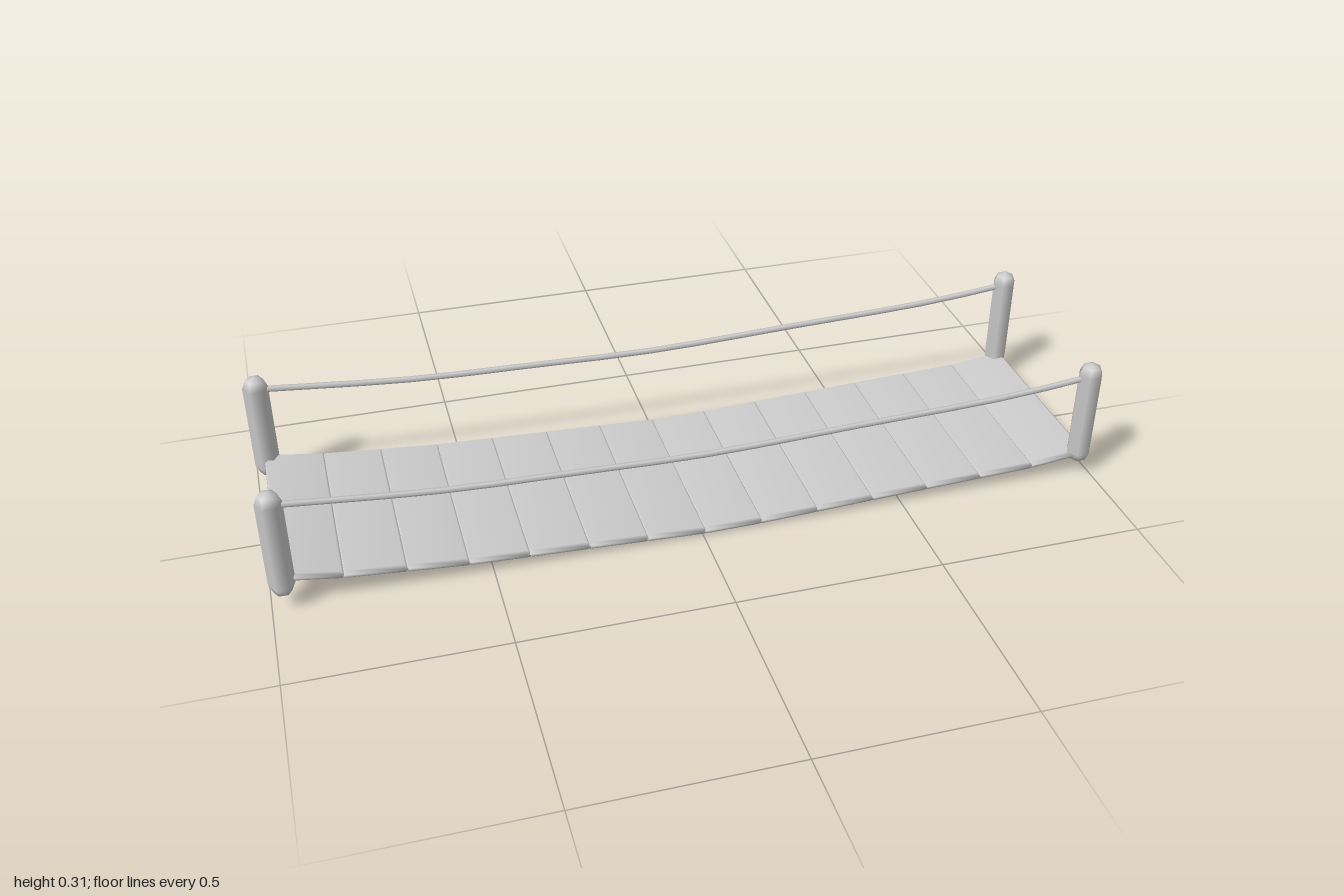
import * as THREE from 'three';
import { mergeVertices } from 'three/addons/utils/BufferGeometryUtils.js';

const grey = new THREE.MeshStandardMaterial({ color: 0xcccccc });

function add(parent, name, geometry) {
  const mesh = new THREE.Mesh(geometry, grey);
  mesh.name = name;
  parent.add(mesh);
  return mesh;
}

// Height of a polyline of [x, y] points at x
function heightAt(points, x) {
  let i = 1;
  while (i < points.length - 1 && x > points[i][0]) i++;
  const [x0, y0] = points[i - 1], [x1, y1] = points[i];
  return y0 + (y1 - y0) * (x - x0) / (x1 - x0);
}

// Thin bevelled board with softly shaded edges, length along x, width along z
function plankGeometry(length, width, thickness, bevel) {
  const a = length / 2 - bevel, b = width / 2 - bevel;
  const shape = new THREE.Shape([[-a, -b], [a, -b], [a, b], [-a, b]].map(p => new THREE.Vector2(...p)));
  const depth = thickness - 2 * bevel;
  const g = new THREE.ExtrudeGeometry(shape, {
    depth, bevelEnabled: true, bevelThickness: bevel, bevelSize: bevel, bevelSegments: 1,
  });
  g.translate(0, 0, -depth / 2);
  g.rotateX(-Math.PI / 2);
  g.deleteAttribute('uv');
  g.deleteAttribute('normal');
  const smooth = mergeVertices(g, 1e-4);
  smooth.computeVertexNormals();
  return smooth;
}

export function createModel() {
  const bridge = new THREE.Group();
  bridge.name = 'ropeBridge';

  // Sagging walkway of fourteen planks
  const sag = [[-0.975, 0.081], [-0.835, 0.06], [-0.555, 0.036], [-0.275, 0.024],
    [0.005, 0.011], [0.145, 0.013], [0.425, 0.025], [0.845, 0.041], [0.985, 0.057]];
  const deck = new THREE.Group();
  deck.name = 'deck';
  bridge.add(deck);
  const count = 14, step = 0.14, start = -0.975;
  const board = plankGeometry(step + 0.004, 0.492, 0.02, 0.007);
  for (let i = 0; i < count; i++) {
    const x0 = start + i * step, x1 = x0 + step;
    const y0 = heightAt(sag, x0), y1 = heightAt(sag, x1);
    const plank = add(deck, 'plank', board);
    plank.position.set((x0 + x1) / 2, (y0 + y1) / 2, 0);
    plank.rotation.z = Math.atan2(y1 - y0, step);
  }

  // Six-sided posts with rounded ends, and a rope handrail on each side
  const post = new THREE.CapsuleGeometry(0.03, 0.22, 2, 6);
  const ropePoints = [[-0.97, 0.279], [-0.6, 0.246], [-0.3, 0.237], [0, 0.23],
    [0.38, 0.243], [0.76, 0.257], [0.97, 0.277]];
  const ropeCurve = new THREE.CatmullRomCurve3(ropePoints.map(([x, y]) => new THREE.Vector3(x, y, 0)));
  const rope = new THREE.TubeGeometry(ropeCurve, 16, 0.0075, 6, false);
  for (const side of [-1, 1]) {
    for (const end of [-1, 1]) {
      add(bridge, 'post', post).position.set(end * 0.97, 0.175, side * 0.24);
    }
    add(bridge, 'ropeHandrail', rope).position.z = side * 0.24;
  }

  return bridge;
}
